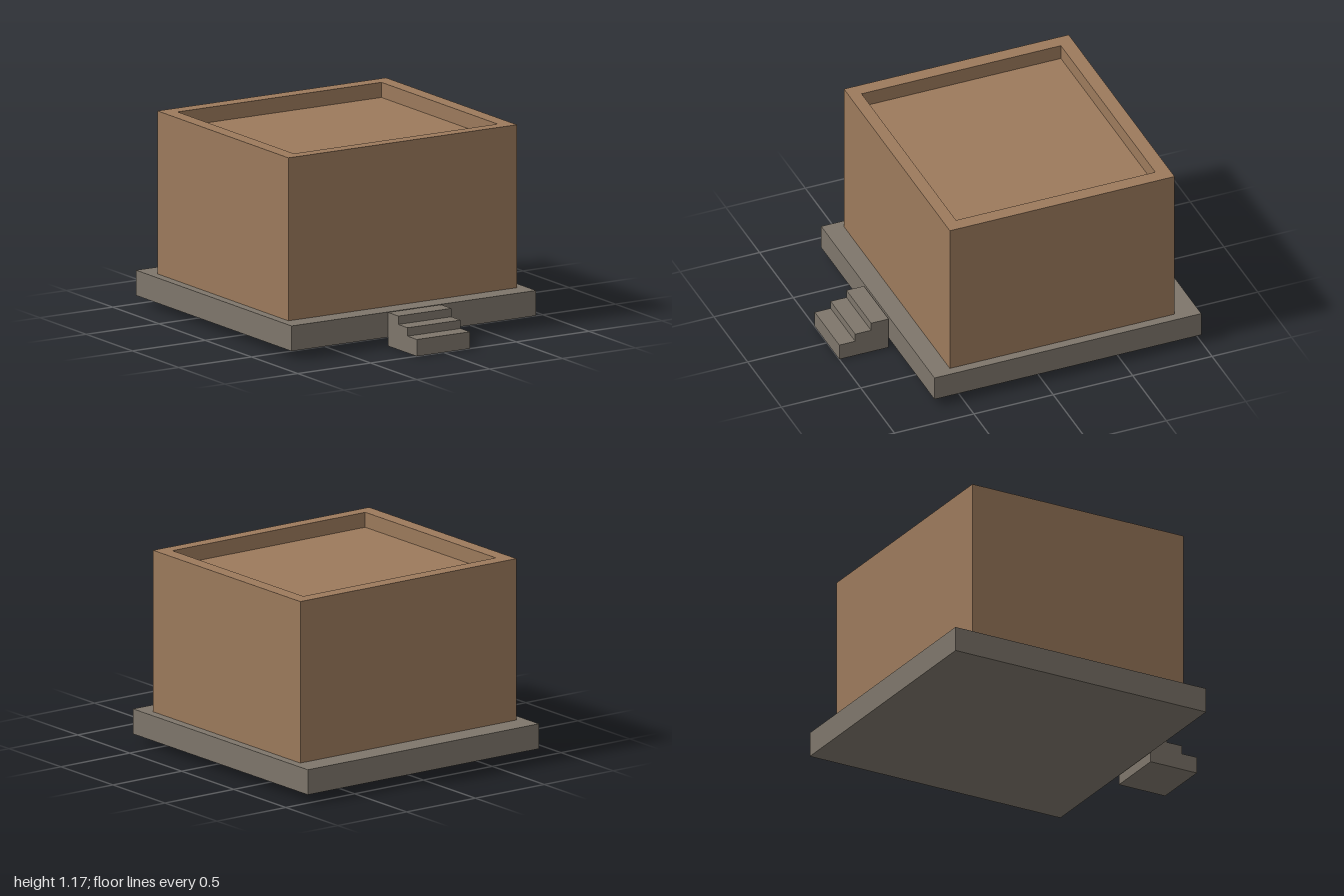
import * as THREE from 'three';

// Closed solid from rectangular rings [x half width, back z, front z, y], listed bottom to end
function ringSolid(rings) {
  const loops = rings.map(([x, back, front, y]) => [
    [-x, y, front], [x, y, front], [x, y, back], [-x, y, back],
  ]);
  const positions = [];
  const quad = (a, b, c, d) => positions.push(...a, ...b, ...c, ...a, ...c, ...d);
  for (let k = 0; k < loops.length - 1; k++) {
    for (let i = 0; i < 4; i++) {
      const j = (i + 1) % 4;
      quad(loops[k][i], loops[k][j], loops[k + 1][j], loops[k + 1][i]);
    }
  }
  quad(...[...loops[0]].reverse());
  quad(...loops[loops.length - 1]);
  const geometry = new THREE.BufferGeometry();
  geometry.setAttribute('position', new THREE.Float32BufferAttribute(positions, 3));
  geometry.computeVertexNormals();
  return geometry;
}

// Stair solid: side profile in (z, y), extruded across x
function stairs(width, back, front, tread, bottomRise, rise, count) {
  const shape = new THREE.Shape();
  shape.moveTo(back, 0);
  shape.lineTo(front, 0);
  for (let i = 0; i < count; i++) {
    const y = bottomRise + i * rise;
    shape.lineTo(front - i * tread, y);
    shape.lineTo(i === count - 1 ? back : front - (i + 1) * tread, y);
  }
  const geometry = new THREE.ExtrudeGeometry(shape, { depth: width, bevelEnabled: false });
  geometry.translate(0, 0, -width / 2);
  geometry.rotateY(-Math.PI / 2);
  return geometry;
}

export function createModel() {
  const clay = new THREE.MeshStandardMaterial({ color: 0x9c7a5c });
  clay.name = 'clay brown';
  const stone = new THREE.MeshStandardMaterial({ color: 0x7e766b });
  stone.name = 'stone grey';

  const model = new THREE.Group();
  model.name = 'flatRoofHouse';
  const add = (name, geometry, material) => {
    const mesh = new THREE.Mesh(geometry, material);
    mesh.name = name;
    model.add(mesh);
  };

  // Foundation slab
  add('foundation', ringSolid([
    [0.84, -1, 0.68, 0.05],
    [0.84, -1, 0.68, 0.2],
  ]), stone);

  // House walls with a parapet around the sunken roof
  add('house', ringSolid([
    [0.785, -0.855, 0.56, 0.2],
    [0.785, -0.855, 0.56, 1.17],
    [0.7, -0.77, 0.485, 1.17],
    [0.7, -0.77, 0.485, 1.08],
  ]), clay);

  // Front steps
  add('frontSteps', stairs(0.365, 0.69, 1, 0.1, 0.1, 0.05, 3), stone);

  return model;
}
